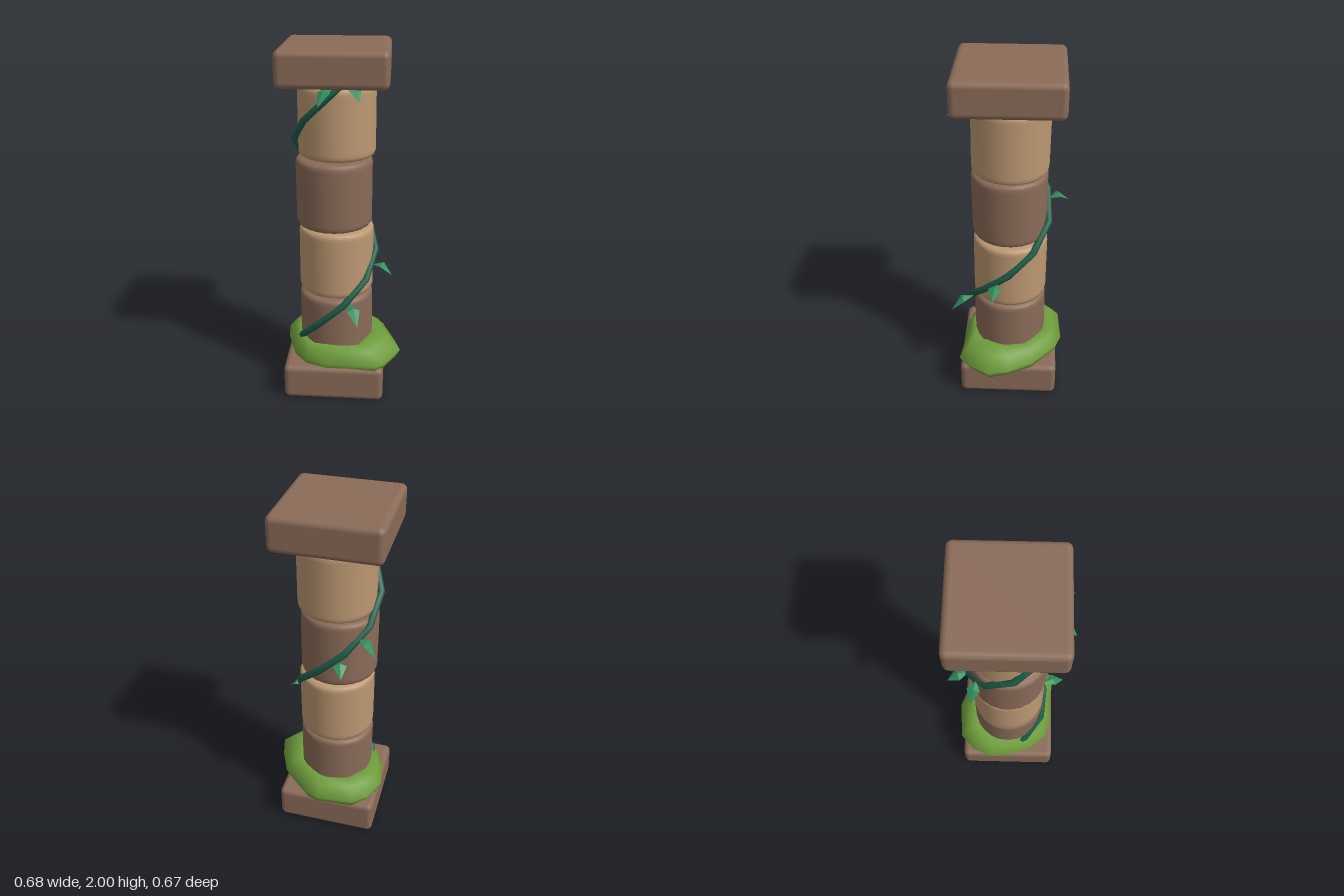
import * as THREE from 'three';
import { RoundedBoxGeometry } from 'three/addons/geometries/RoundedBoxGeometry.js';

const CX = -0.04, CZ = -0.01; // column axis

export function createModel() {
  const mat = (name, color, side = THREE.FrontSide) => {
    const m = new THREE.MeshStandardMaterial({ color, side });
    m.name = name;
    return m;
  };
  const darkStone = mat('dark stone', 0x8a6b58);
  const lightStone = mat('light stone', 0xbc9872);
  const mossGreen = mat('moss green', 0x6f9d3c);
  const vineGreen = mat('vine green', 0x1f5f4a);
  const leafGreen = mat('leaf green', 0x339060, THREE.DoubleSide);

  const group = new THREE.Group();
  group.name = 'overgrownColumn';
  const add = (name, geometry, material, x = 0, y = 0, z = 0) => {
    const mesh = new THREE.Mesh(geometry, material);
    mesh.name = name;
    mesh.position.set(x, y, z);
    group.add(mesh);
    return mesh;
  };

  // Square slabs at the foot and the head
  add('baseSlab', new RoundedBoxGeometry(0.57, 0.21, 0.57, 2, 0.032), darkStone, CX, 0.11, CZ);
  add('capSlab', new RoundedBoxGeometry(0.57, 0.19, 0.57, 2, 0.032), darkStone, CX, 1.905, CZ);

  // Stacked drums with softened rims, each slightly shifted and tilted
  const drumGeometry = (r, h) => {
    const rim = [[0, 0], [r - 0.04, 0], [r - 0.022, 0.001], [r - 0.007, 0.008], [r - 0.001, 0.022], [r, 0.04]];
    const top = rim.map(([x, y]) => [x, h - y]).reverse();
    return new THREE.LatheGeometry([...rim, ...top].map(([x, y]) => new THREE.Vector2(x, y)), 24);
  };
  [
    [0.225, -0.040, 0.004, darkStone],
    [0.620, -0.040, -0.005, lightStone],
    [1.017, -0.050, 0.005, darkStone],
    [1.413, -0.035, -0.007, lightStone],
  ].forEach(([y, x, tilt, material], i) => {
    const drum = add('drum' + (i + 1), drumGeometry(0.21, 0.385), material, x, y, CZ);
    drum.rotation.set(tilt, i * 0.7, tilt);
  });

  // Moss collar: uneven outline lofted from the drum outwards, then under
  const outline = [
    [0.34, 0.10], [0.31, -0.01], [0.245, -0.155], [0.08, -0.295], [0, -0.325], [-0.21, -0.31],
    [-0.29, -0.23], [-0.34, -0.12], [-0.325, 0], [-0.28, 0.13], [-0.20, 0.23], [-0.08, 0.265],
    [0.06, 0.265], [0.21, 0.28], [0.255, 0.23],
  ];
  const rings = [[0, 0.315], [0.25, 0.335], [0.65, 0.315], [1, 0.25], [0.88, 0.205], [0, 0.2]];
  const positions = [], index = [], n = outline.length;
  rings.forEach(([t, y], i) => outline.forEach(([x, z], j) => {
    const a = Math.atan2(z - CZ, x - CX);
    const ix = CX + 0.19 * Math.cos(a), iz = CZ + 0.19 * Math.sin(a);
    const bump = 0.008 * Math.sin(j * 2.3 + i) - 0.06 * Math.max(0, z - 0.1);
    positions.push(ix + (x - ix) * t, y + bump, iz + (z - iz) * t);
    if (i < rings.length - 1) {
      const k = (j + 1) % n, a0 = i * n + j, a1 = i * n + k, b0 = a0 + n, b1 = a1 + n;
      index.push(a0, b0, b1, a0, b1, a1);
    }
  }));
  const moss = new THREE.BufferGeometry();
  moss.setAttribute('position', new THREE.Float32BufferAttribute(positions, 3));
  moss.setIndex(index);
  moss.computeVertexNormals();
  add('mossCollar', moss, mossGreen);

  // Vine winding up the column in straight low-poly steps
  class Helix extends THREE.Curve {
    getPoint(t, target = new THREE.Vector3()) {
      const y = 0.2 + t * 1.69;
      const a = -(y - 0.85) * THREE.MathUtils.degToRad(290);
      return target.set(CX + 0.222 * Math.cos(a), y, CZ + 0.222 * Math.sin(a));
    }
    getPointAt(t, target) { return this.getPoint(t, target); }
  }
  add('vine', new THREE.TubeGeometry(new Helix(), 13, 0.02, 6), vineGreen);

  // Folded leaves that arch out of the vine and droop to a point
  const leafGeometry = (base, tip) => {
    const b = new THREE.Vector3(...base), e = new THREE.Vector3(...tip);
    const mid = b.clone().lerp(e, 0.5);
    mid.y += 0.045;
    const side = new THREE.Vector3(e.x - b.x, 0, e.z - b.z).normalize().cross(new THREE.Vector3(0, 1, 0));
    const l = mid.clone().addScaledVector(side, -0.036), r = mid.clone().addScaledVector(side, 0.036);
    l.y -= 0.014;
    r.y -= 0.014;
    const g = new THREE.BufferGeometry().setFromPoints([b, l, mid, b, mid, r, l, e, mid, mid, e, r]);
    g.computeVertexNormals();
    return g;
  };
  [
    [[0.05, 0.60, 0.20], [0.10, 0.525, 0.33]],
    [[0.17, 0.78, 0.05], [0.28, 0.73, 0.08]],
    [[-0.10, 1.19, -0.22], [-0.14, 1.165, -0.335]],
    [[-0.19, 1.32, -0.17], [-0.29, 1.235, -0.20]],
    [[-0.05, 1.80, 0.20], [-0.105, 1.735, 0.31]],
    [[0.05, 1.80, 0.19], [0.10, 1.765, 0.30]],
  ].forEach(([base, tip], i) => add('leaf' + (i + 1), leafGeometry(base, tip), leafGreen));

  return group;
}
